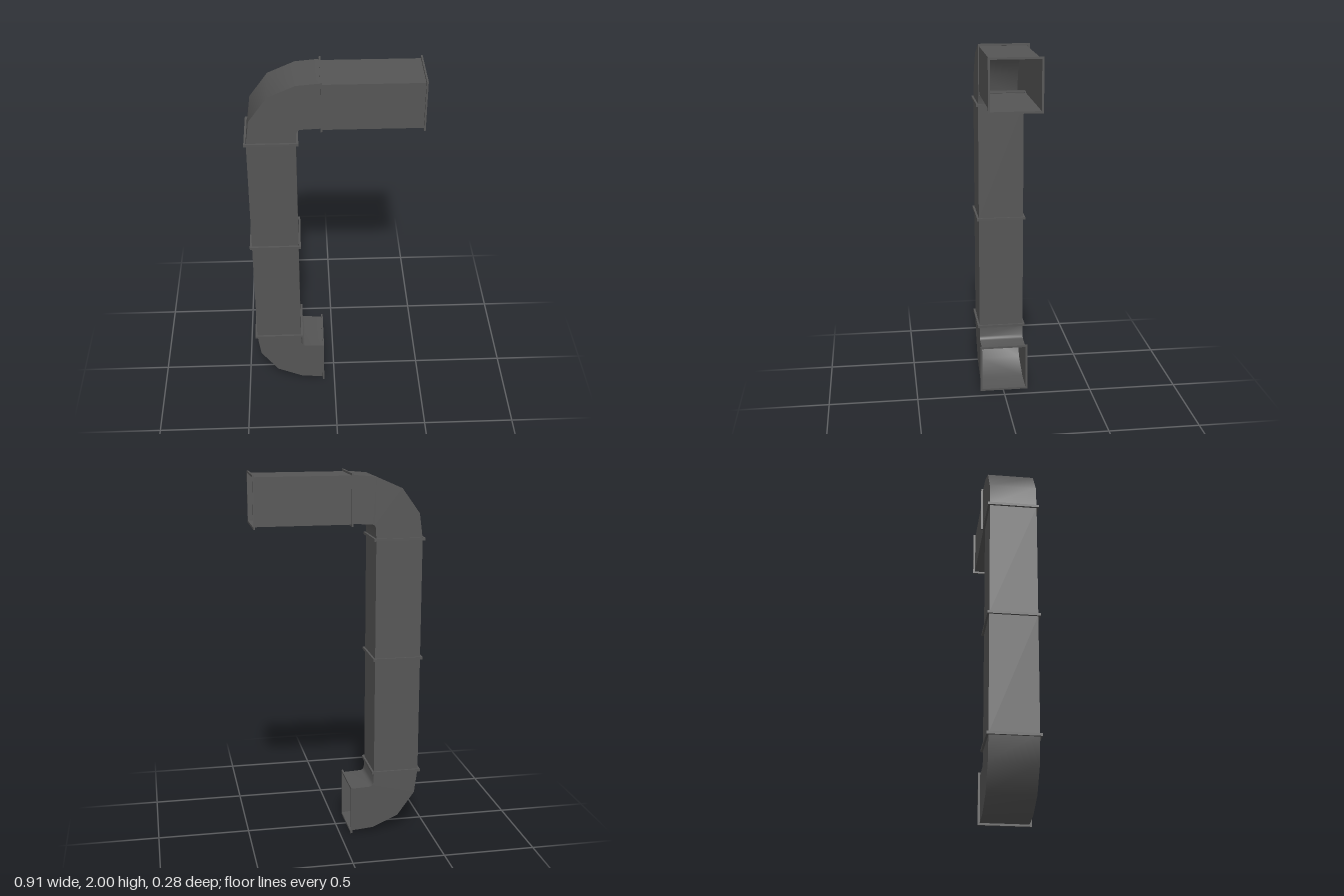
import * as THREE from 'three';
import { toCreasedNormals } from 'three/addons/utils/BufferGeometryUtils.js';

const HALF = 0.126;    // half width of the duct
const FLANGE = 0.137;  // half width of the joint flanges
const RUN_Z = -0.004;  // centre line of riser and elbows
const OUT_Z = 0.002;   // centre line of the outlet duct
const MID_Y = 1.0025;  // the two elbows mirror about this height

const material = new THREE.MeshStandardMaterial({ color: 0x555555, side: THREE.DoubleSide });

function addMesh(group, geometry, name) {
  const mesh = new THREE.Mesh(geometry, material);
  mesh.name = name;
  group.add(mesh);
  return mesh;
}

// Open rectangular tube through stations [outerX, outerY, innerX, innerY]
function ductGeometry(stations, z) {
  const rings = stations.map(([ox, oy, ix, iy]) => [
    [ox, oy, z + HALF], [ox, oy, z - HALF], [ix, iy, z - HALF], [ix, iy, z + HALF],
  ]);
  const positions = [];
  for (let i = 0; i < rings.length - 1; i++) {
    for (let k = 0; k < 4; k++) {
      const n = (k + 1) % 4;
      const a = rings[i][k], b = rings[i][n], c = rings[i + 1][k], d = rings[i + 1][n];
      positions.push(...a, ...c, ...b, ...b, ...c, ...d);
    }
  }
  const geometry = new THREE.BufferGeometry();
  geometry.setAttribute('position', new THREE.Float32BufferAttribute(positions, 3));
  return toCreasedNormals(geometry, 0.8);
}

function square(target, h) {
  return target.moveTo(-h, -h).lineTo(h, -h).lineTo(h, h).lineTo(-h, h).closePath();
}

// Thin square frame, centred on the origin and facing z
function flangeGeometry(depth) {
  const shape = square(new THREE.Shape(), FLANGE);
  shape.holes.push(square(new THREE.Path(), HALF));
  return new THREE.ExtrudeGeometry(shape, { depth, bevelEnabled: false }).translate(0, 0, -depth / 2);
}

export function createModel() {
  const group = new THREE.Group();
  group.name = 'ventilationDuct';
  const left = -0.443, right = -0.193;

  // Elbows: the upper one is the lower one flipped
  const elbow = [
    [-0.065, 0.013, -0.065, 0.265],
    [-0.19, 0.024, -0.172, 0.27],
    [-0.33, 0.086, -0.184, 0.277],
    [-0.425, 0.218, -0.19, 0.29],
    [left, 0.352, right, 0.352],
  ];
  const upper = elbow.map(([ox, oy, ix, iy]) => [ox, 2 * MID_Y - oy, ix, 2 * MID_Y - iy]).reverse();
  addMesh(group, ductGeometry(elbow, RUN_Z), 'lowerElbow');
  addMesh(group, ductGeometry(upper, RUN_Z), 'upperElbow');

  // Riser in two lengths
  const joints = [0.352, MID_Y, 1.653];
  for (let i = 0; i < 2; i++) {
    const ends = [joints[i], joints[i + 1]].map((y) => [left, y, right, y]);
    addMesh(group, ductGeometry(ends, RUN_Z), i ? 'upperRiser' : 'lowerRiser');
  }

  // Horizontal outlet
  const outlet = [-0.065, 0.448].map((x) => [x, 1.988, x, 1.736]);
  addMesh(group, ductGeometry(outlet, OUT_Z), 'outletDuct');

  // Flanges around the riser joints
  for (const y of joints) {
    const flange = addMesh(group, flangeGeometry(0.014), 'riserFlange');
    flange.rotation.x = Math.PI / 2;
    flange.position.set((left + right) / 2, y, RUN_Z);
  }

  // Flanges on the horizontal openings
  const openings = [
    ['inletFlange', -0.065, 0.138, RUN_Z],
    ['outletJointFlange', -0.065, 1.863, RUN_Z],
    ['outletEndFlange', 0.446, 1.862, OUT_Z],
  ];
  for (const [name, x, y, z] of openings) {
    const flange = addMesh(group, flangeGeometry(0.009), name);
    flange.rotation.y = Math.PI / 2;
    flange.position.set(x, y, z);
  }
  return group;
}
